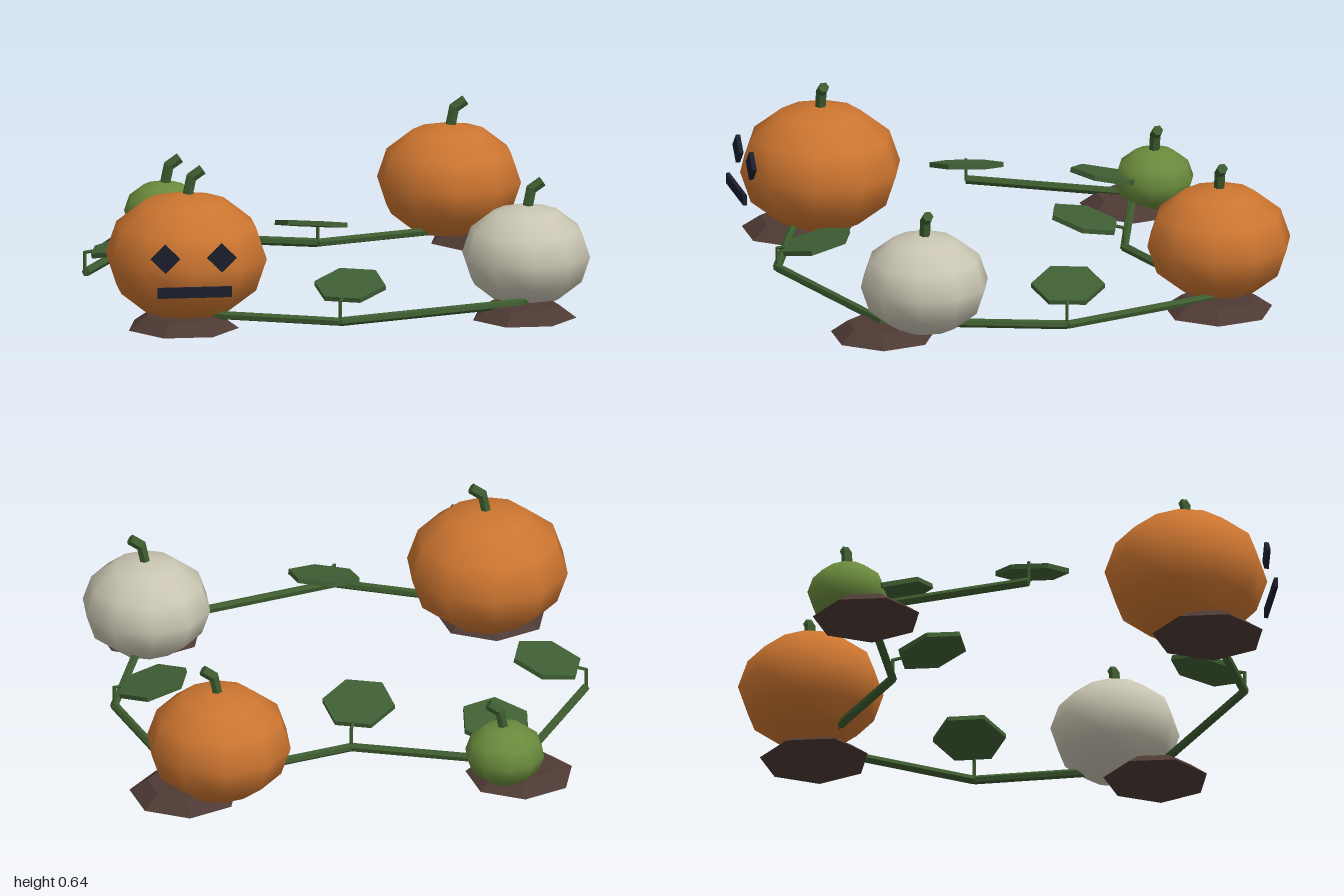
import * as THREE from 'three';

const mat = (name, color) => {
  const m = new THREE.MeshStandardMaterial({ color });
  m.name = name;
  return m;
};

// Faceted copy of a geometry
function facet(geometry) {
  const g = geometry.toNonIndexed();
  g.computeVertexNormals();
  return g;
}

export function createModel() {
  const model = new THREE.Group();
  model.name = 'pumpkinPatch';

  const orange = mat('pumpkin orange', 0xcc7530);
  const pale = mat('pale cream', 0xc9c5b2);
  const green = mat('unripe green', 0x6a8a3c);
  const soil = mat('soil brown', 0x4e3a34);
  const vineGreen = mat('vine green', 0x3d5c2f);
  const leafGreen = mat('leaf green', 0x3f5f34);
  const ink = mat('face dark', 0x1b1e2d);

  function add(parent, name, geometry, material, x = 0, y = 0, z = 0) {
    const mesh = new THREE.Mesh(geometry, material);
    mesh.name = name;
    mesh.position.set(x, y, z);
    parent.add(mesh);
    return mesh;
  }

  // Straight faceted rod between two points
  function rod(parent, name, a, b, radius, sides, material) {
    const from = new THREE.Vector3(...a), to = new THREE.Vector3(...b);
    const dir = to.clone().sub(from);
    const g = facet(new THREE.CylinderGeometry(radius, radius, dir.length(), sides));
    const mesh = add(parent, name, g, material);
    mesh.position.copy(from).add(to).multiplyScalar(0.5);
    mesh.quaternion.setFromUnitVectors(new THREE.Vector3(0, 1, 0), dir.normalize());
    return mesh;
  }

  // Pumpkin: squashed sphere with a bent stem
  const ball = new THREE.SphereGeometry(1, 10, 6).rotateY(Math.PI / 2);
  function pumpkin(name, x, z, r, material) {
    const group = new THREE.Group();
    group.name = name;
    const half = r * 0.79, top = 0.01 + 2 * half;
    add(group, 'body', ball, material, x, 0.01 + half, z).scale.set(r, half, r);
    rod(group, 'stemLower', [x, top - 0.04, z], [x + 0.022, top + 0.068, z], 0.022, 6, vineGreen);
    rod(group, 'stemTip', [x + 0.016, top + 0.058, z], [x + 0.066, top + 0.093, z], 0.022, 6, vineGreen);
    model.add(group);
    return group;
  }
  const carved = pumpkin('carvedPumpkin', -0.645, 0.647, 0.33, orange);
  pumpkin('backPumpkin', 0.575, -0.705, 0.295, orange);
  pumpkin('palePumpkin', 0.74, 0.55, 0.262, pale);
  pumpkin('smallPumpkin', -0.577, -0.715, 0.162, green);

  // Carved face: diamond eyes and a straight mouth
  for (const x of [-0.765, -0.537]) {
    add(carved, 'eye', new THREE.BoxGeometry(0.083, 0.083, 0.018), ink, x, 0.33, 0.957)
      .rotation.z = Math.PI / 4;
  }
  add(carved, 'mouth', new THREE.BoxGeometry(0.3, 0.042, 0.016), ink, -0.65, 0.198, 0.991);

  // Soil mounds, seven-sided and tapered
  const mounds = [
    [-0.67, 0.735, 0.228], [0.71, 0.713, 0.214], [0.71, -0.67, 0.223], [-0.645, -0.645, 0.22],
  ];
  for (const [x, z, r] of mounds) {
    const g = facet(new THREE.CylinderGeometry(r * 0.68, r, 0.05, 7).rotateY(Math.PI));
    add(model, 'soilMound', g, soil, x, 0.025, z);
  }

  // Vine running from mound to mound
  const path = [
    [-0.97, -0.035], [-0.645, -0.645], [0.015, -0.45], [0.71, -0.675],
    [0.925, 0.005], [0.71, 0.713], [-0.06, 0.965], [-0.67, 0.735],
  ];
  for (let i = 1; i < path.length; i++) {
    const [a, b] = [path[i - 1], path[i]];
    rod(model, 'vine', [a[0], 0.056, a[1]], [b[0], 0.056, b[1]], 0.018, 6, vineGreen);
  }

  // Leaves: hexagonal plates tilted up away from their stalks
  const leafShape = facet(new THREE.CylinderGeometry(0.148, 0.148, 0.02, 6)
    .rotateY(Math.PI / 6).rotateX(-0.245));
  const leaves = [
    // stalk x, z, then heading x, z
    [0.015, -0.45, -0.28, 0.96], [0.925, 0.005, -0.95, -0.25], [-0.06, 0.965, 0.36, -0.93],
    [-0.975, -0.035, 0.97, 0.22], [-0.635, -0.655, 0.46, 0.89],
  ];
  for (const [x, z, dx, dz] of leaves) {
    rod(model, 'leafStalk', [x, 0.05, z], [x, 0.142, z], 0.007, 5, vineGreen);
    rod(model, 'leafJoint', [x, 0.138, z], [x + dx * 0.06, 0.15, z + dz * 0.06], 0.007, 5, vineGreen);
    add(model, 'leaf', leafShape, leafGreen, x + dx * 0.16, 0.17, z + dz * 0.16)
      .rotation.y = Math.atan2(dx, dz);
  }

  return model;
}
